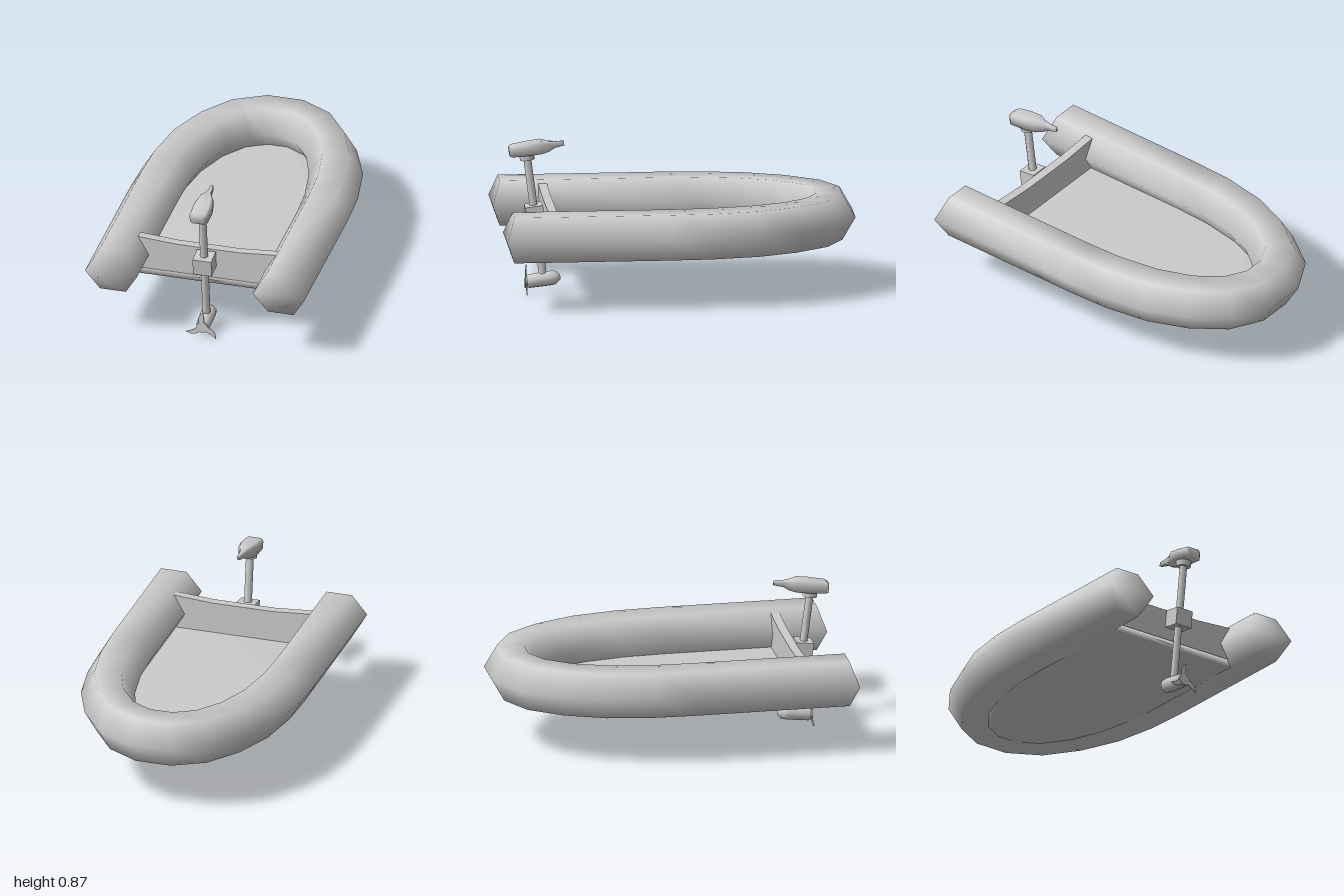
import * as THREE from 'three';
import { mergeVertices } from 'three/addons/utils/BufferGeometryUtils.js';

const material = new THREE.MeshStandardMaterial({ color: 0xcccccc, side: THREE.DoubleSide });

function add(parent, name, geometry, x = 0, y = 0, z = 0) {
  const mesh = new THREE.Mesh(geometry, material);
  mesh.name = name;
  mesh.position.set(x, y, z);
  parent.add(mesh);
  return mesh;
}

// Skin a list of equal-length rings, with end caps as fans.
function loft(rings) {
  const n = rings[0].length, index = [], last = (rings.length - 1) * n;
  for (let i = 0; i < rings.length - 1; i++) {
    for (let j = 0; j < n; j++) {
      const a = i * n + j, b = i * n + (j + 1) % n;
      index.push(a, a + n, b, b, a + n, b + n);
    }
  }
  for (let j = 1; j < n - 1; j++) {
    index.push(0, j, j + 1, last, last + j + 1, last + j);
  }
  const g = new THREE.BufferGeometry();
  g.setAttribute('position', new THREE.Float32BufferAttribute(rings.flat(2), 3));
  g.setIndex(index);
  g.computeVertexNormals();
  return g;
}

// Hull stations from stern to bow on the left: outer x, z and inner x, z.
const half = [
  [0.637, 1, 0.337, 1], [0.637, 0.075, 0.337, 0.075], [0.628, -0.17, 0.327, -0.14],
  [0.583, -0.44, 0.29, -0.36], [0.483, -0.68, 0.225, -0.54],
  [0.335, -0.885, 0.135, -0.66], [0.122, -1, 0.045, -0.71],
];
const stations = [
  ...half,
  ...half.slice().reverse().map(([ox, oz, ix, iz]) => [-ox, oz, -ix, iz]),
];

// Six-sided inflated tube, its stern ends pinched to a horizontal ridge.
function tubeGeometry() {
  const section = [[0, 0], [0.25, 1], [0.75, 1], [1, 0], [0.75, -1], [0.25, -1]];
  return loft(stations.map(([ox, oz, ix, iz]) => section.map(([t, h]) => {
    const z = THREE.MathUtils.lerp(oz, iz, t);
    return [THREE.MathUtils.lerp(ox, ix, t), 0.422 + h * 0.13, z === 1 && h ? 0.955 : z];
  })));
}

// Thin slab filling the inside of the tube.
function floorGeometry() {
  const points = stations.map(([ox, oz, ix, iz]) => new THREE.Vector2(
    THREE.MathUtils.lerp(ox, ix, 0.75),
    -Math.min(0.735, THREE.MathUtils.lerp(oz, iz, 0.75))));
  const g = new THREE.ExtrudeGeometry(new THREE.Shape(points), { depth: 0.04, bevelEnabled: false });
  g.rotateX(-Math.PI / 2);
  g.deleteAttribute('normal');
  g.deleteAttribute('uv');
  const smooth = mergeVertices(g, 1e-4);
  smooth.computeVertexNormals();
  return smooth;
}

// Stern board with a gently dipped top edge.
function transomGeometry() {
  const s = new THREE.Shape();
  s.moveTo(-0.4, 0.335);
  s.lineTo(0.4, 0.335);
  s.lineTo(0.4, 0.532);
  s.lineTo(0.18, 0.516);
  s.lineTo(-0.18, 0.516);
  s.lineTo(-0.4, 0.532);
  return new THREE.ExtrudeGeometry(s, { depth: 0.05, bevelEnabled: false });
}

// Motor cover tapering into the tiller: z, half width, bottom, top.
function headGeometry() {
  const rows = [
    [0.096, 0.036, 0.724, 0.774], [0.078, 0.051, 0.722, 0.78], [-0.02, 0.053, 0.718, 0.786],
    [-0.085, 0.042, 0.715, 0.788], [-0.125, 0.022, 0.718, 0.776],
    [-0.16, 0.013, 0.733, 0.768], [-0.216, 0.008, 0.738, 0.763],
  ];
  return loft(rows.map(([z, w, b, t]) => {
    const lip = (t - b) * 0.25;
    return [[w, b, z], [w, t - lip, z], [w * 0.75, t, z],
      [-w * 0.75, t, z], [-w, t - lip, z], [-w, b, z]];
  }));
}

// One swept propeller blade, pointing along +y.
function bladeGeometry() {
  const s = new THREE.Shape();
  s.moveTo(-0.02, 0.025);
  s.quadraticCurveTo(-0.028, 0.08, 0.014, 0.1);
  s.quadraticCurveTo(0.006, 0.07, 0.012, 0.025);
  return new THREE.ExtrudeGeometry(s, { depth: 0.004, bevelEnabled: false, curveSegments: 6 });
}

export function createModel() {
  const model = new THREE.Group();
  model.name = 'inflatableBoat';

  add(model, 'inflatableTube', tubeGeometry());
  add(model, 'floor', floorGeometry(), 0, 0.295, 0);
  add(model, 'transom', transomGeometry(), 0, 0, 0.69);

  // Outboard motor, leaning back on the transom
  const motor = new THREE.Group();
  motor.name = 'outboardMotor';
  motor.position.set(0, 0.08, 0.745);
  motor.rotation.x = THREE.MathUtils.degToRad(7.5);
  model.add(motor);
  add(motor, 'shaft', new THREE.CylinderGeometry(0.022, 0.022, 0.69, 10), 0, 0.345, 0);
  add(motor, 'clampBracket', new THREE.BoxGeometry(0.108, 0.1, 0.1), 0, 0.375, 0);
  add(motor, 'collar', new THREE.CylinderGeometry(0.043, 0.041, 0.035, 12), 0, 0.705, 0);
  add(motor, 'motorHead', headGeometry());

  // Gear pod with a blunt nose, turned to lie fore and aft
  const podProfile = [[0, -0.096], [0.032, -0.096], [0.039, -0.085], [0.042, 0.03],
    [0.04, 0.065], [0.016, 0.094], [0, 0.096]].map(([r, y]) => new THREE.Vector2(r, y));
  const pod = add(motor, 'gearPod', new THREE.LatheGeometry(podProfile, 10), 0, -0.006, 0);
  pod.rotation.x = -Math.PI / 2;

  // Three-bladed propeller behind the pod
  const propeller = new THREE.Group();
  propeller.name = 'propeller';
  propeller.position.set(0, 0.062, 0.841);
  model.add(propeller);
  const hub = add(propeller, 'propellerHub', new THREE.CylinderGeometry(0.034, 0.034, 0.012, 10));
  hub.rotation.x = Math.PI / 2;
  for (let i = 0; i < 3; i++) {
    add(propeller, 'propellerBlade', bladeGeometry()).rotation.z = i * Math.PI * 2 / 3;
  }
  return model;
}
